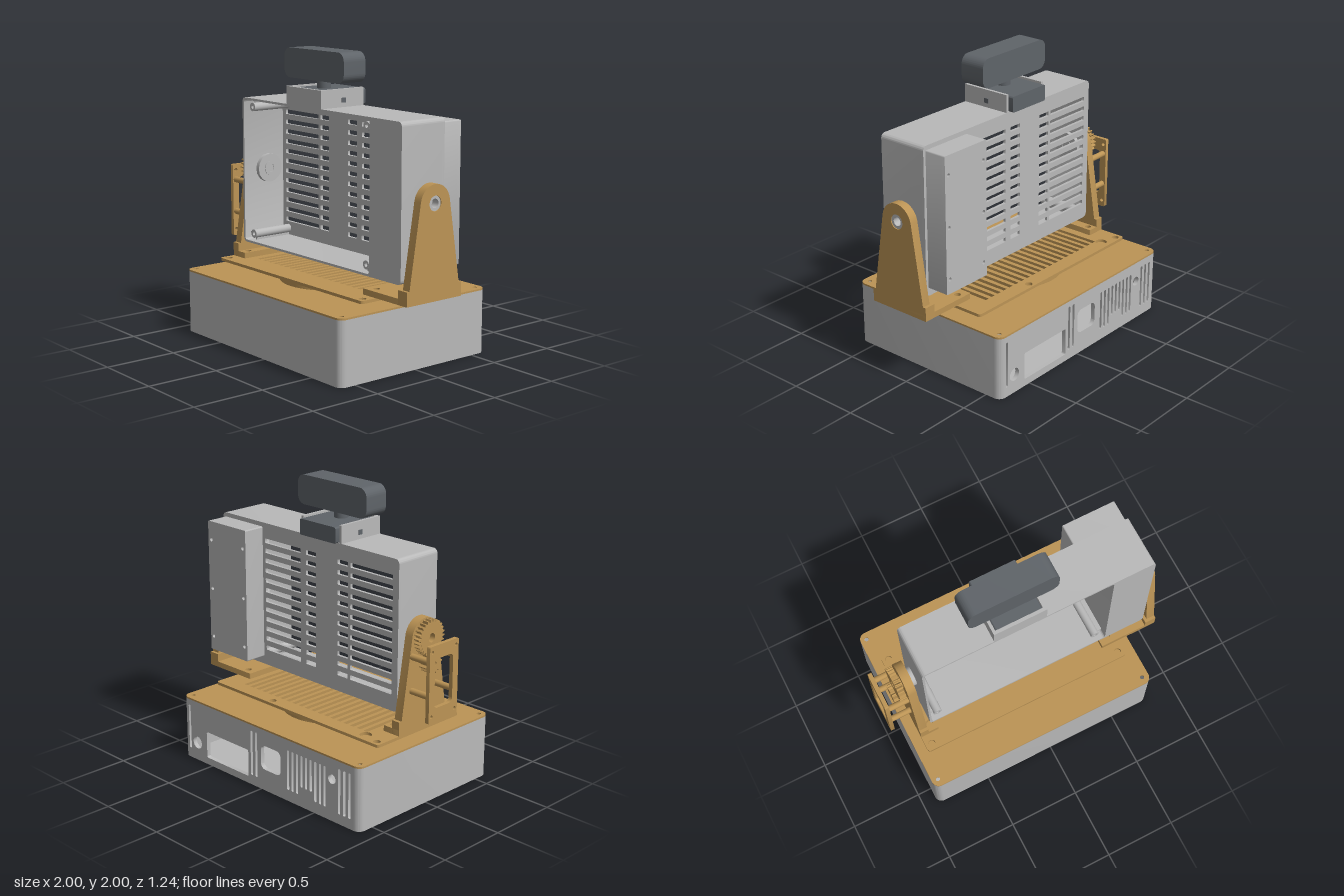
import * as THREE from 'three';
import { toCreasedNormals } from 'three/addons/utils/BufferGeometryUtils.js';

const grey = new THREE.MeshStandardMaterial({ name: 'grey plastic', color: 0xb9b9b9 });
const gold = new THREE.MeshStandardMaterial({ name: 'golden plastic', color: 0xbc9455 });
const dark = new THREE.MeshStandardMaterial({ name: 'dark slate plastic', color: 0x5f6469 });

// rounded rectangle outline, usable as shape or hole
function rrect(x0, y0, x1, y1, r, P = THREE.Shape) {
  const s = new P();
  s.moveTo(x0 + r, y0);
  s.lineTo(x1 - r, y0); s.absarc(x1 - r, y0 + r, r, -Math.PI / 2, 0);
  s.lineTo(x1, y1 - r); s.absarc(x1 - r, y1 - r, r, 0, Math.PI / 2);
  s.lineTo(x0 + r, y1); s.absarc(x0 + r, y1 - r, r, Math.PI / 2, Math.PI);
  s.lineTo(x0, y0 + r); s.absarc(x0 + r, y0 + r, r, Math.PI, Math.PI * 1.5);
  return s;
}
const hole = (x0, y0, x1, y1, r) => rrect(x0, y0, x1, y1, r, THREE.Path);
function circle(x, y, r, P = THREE.Path) {
  const p = new P();
  p.absarc(x, y, r, 0, Math.PI * 2);
  return p;
}

export function createModel() {
  const model = new THREE.Group();
  const add = (name, geo, mat, parent = model) => {
    const m = new THREE.Mesh(geo, mat);
    m.name = name;
    parent.add(m);
    return m;
  };
  const group = (name) => {
    const g = new THREE.Group();
    g.name = name;
    model.add(g);
    return g;
  };
  // extrude along z, y (shape y = -z) or x (shape x = -z), from a to b
  const extrude = (shape, axis, a, b) => {
    let g = new THREE.ExtrudeGeometry(shape, { depth: b - a, bevelEnabled: false, curveSegments: 8 });
    g.translate(0, 0, a);
    if (axis === 'y') g.rotateX(-Math.PI / 2);
    if (axis === 'x') g.rotateY(Math.PI / 2);
    return toCreasedNormals(g, 0.5);
  };
  const box = (x0, x1, y0, y1, z0, z1) =>
    new THREE.BoxGeometry(x1 - x0, y1 - y0, z1 - z0).translate((x0 + x1) / 2, (y0 + y1) / 2, (z0 + z1) / 2);
  // cylinder or tube with its axis along x, y or z
  const rod = (axis, a, b, u, v, r, inner = 0) => {
    const s = circle(axis === 'x' ? -v : u, axis === 'x' ? u : axis === 'y' ? -v : v, r, THREE.Shape);
    if (inner) s.holes.push(circle(axis === 'x' ? -v : u, axis === 'x' ? u : axis === 'y' ? -v : v, inner));
    return extrude(s, axis, a, b);
  };

  // hollow base: U-shaped wall, back panel with ports, floor
  const X0 = -0.9, X1 = 0.79, Z = 0.62, R = 0.05, T = 0.03;
  const base = group('base');
  const u = new THREE.Shape();
  u.moveTo(X0 + R, Z); u.absarc(X0 + R, Z - R, R, Math.PI / 2, Math.PI);
  u.absarc(X0 + R, -Z + R, R, Math.PI, Math.PI * 1.5);
  u.absarc(X1 - R, -Z + R, R, -Math.PI / 2, 0);
  u.absarc(X1 - R, Z - R, R, 0, Math.PI / 2);
  u.lineTo(X1 - R, Z - T); u.lineTo(X1 - T, Z - R); u.lineTo(X1 - T, -Z + T);
  u.lineTo(X0 + T, -Z + T); u.lineTo(X0 + T, Z - R); u.lineTo(X0 + R, Z - T);
  add('baseWall', extrude(u, 'y', 0, 0.43), grey, base);

  const back = new THREE.Shape();
  back.moveTo(X0 + R, 0); back.lineTo(X1 - R, 0); back.lineTo(X1 - R, 0.43); back.lineTo(X0 + R, 0.43);
  const slot = (x, y0, y1) => back.holes.push(hole(x - 0.01, y0, x + 0.01, y1, 0.008));
  for (const x of [0.725, 0.09, 0.045]) slot(x, 0.07, 0.39);
  for (let i = 0; i < 9; i++) slot(-0.26 - i * 0.042, i > 2 && i < 6 ? 0.14 : 0.08, 0.36);
  for (const x of [-0.725, -0.77, -0.815]) slot(x, 0.07, 0.38);
  back.holes.push(hole(0.125, 0.05, 0.55, 0.24, 0.01), hole(-0.19, 0.15, 0.0, 0.32, 0.04),
    circle(0.65, 0.13, 0.045), circle(-0.66, 0.29, 0.033));
  add('basePortPanel', extrude(back, 'z', -Z, -Z + T), grey, base);

  const floor = rrect(X0 + 0.01, -Z + 0.01, X1 - 0.01, Z - 0.01, R);
  for (const x of [-0.79, 0.68]) for (const z of [-0.51, 0.51]) floor.holes.push(circle(x, z, 0.04));
  add('baseUnderside', extrude(floor, 'y', 0, 0.015), grey, base);
  add('baseFloor', box(X0 + 0.02, X1 - 0.02, 0.015, 0.03, -Z + 0.02, Z - 0.02), grey, base);

  // lid, turntable and slotted plate
  const lid = rrect(X0, -Z, X1, Z, R);
  for (const x of [-0.855, 0.74]) for (const z of [-0.57, 0.57]) lid.holes.push(circle(x, z, 0.015));
  add('baseLid', extrude(lid, 'y', 0.43, 0.442), gold);
  add('turntable', new THREE.CylinderGeometry(0.355, 0.355, 0.04, 48).translate(-0.055, 0.461, 0), gold);
  const plate = rrect(-0.83, -0.385, 0.71, 0.385, 0.02);
  for (let i = 0; i < 20; i++) {
    const x = -0.62 + i * 0.06;
    plate.holes.push(hole(x - 0.016, -0.2, x + 0.016, 0.28, 0.004));
  }
  plate.holes.push(circle(-0.66, 0.315, 0.04));
  for (const [x, z] of [[-0.785, -0.345], [0.175, -0.345], [-0.785, 0.34], [0.665, 0.34]])
    plate.holes.push(circle(x, -z, 0.025));
  add('slottedPlate', extrude(plate, 'y', 0.48, 0.5), gold);

  // tapered yoke arms with feet
  const PY = 1.12, PZ = 0.04;
  const arm = new THREE.Shape();
  arm.moveTo(-0.25, 0.5); arm.lineTo(0.17, 0.5); arm.lineTo(0.17, 0.58);
  arm.absarc(-PZ, PY, 0.122, 0.16, Math.PI - 0.16);
  arm.lineTo(-0.25, 0.58);
  arm.holes.push(circle(-PZ, PY, 0.05));
  const yoke = group('yoke');
  for (const [x0, x1, f0, f1, b0, b1] of [[-0.83, -0.77, -0.83, -0.695, -0.83, -0.77], [0.94, 1, 0.58, 1, 0.92, 1]]) {
    add('yokeArm', extrude(arm, 'x', x0, x1), gold, yoke);
    add('yokeBlock', box(b0, b1, 0.5, 0.595, -0.19, 0.268), gold, yoke);
    const foot = rrect(f0, -0.268, f1, 0.19, 0.005);
    const hx = x0 < 0 ? -0.735 : 0.65;
    for (const z of [-0.14, 0.21]) foot.holes.push(circle(hx, -z, 0.022));
    add('yokeFoot', extrude(foot, 'y', 0.5, 0.54), gold, yoke);
  }

  // pivots
  const pivots = group('pivots');
  add('rightPivot', rod('x', -0.82, -0.69, PY, PZ, 0.049, 0.03), grey, pivots);
  add('rightPivotCollar', rod('x', -0.77, -0.735, PY, PZ, 0.065), grey, pivots);
  add('rightPivotDisc', rod('x', -0.73, -0.695, PY, PZ, 0.1), grey, pivots);
  add('leftPivot', rod('x', 0.9, 0.995, PY, PZ, 0.049, 0.03), grey, pivots);
  add('leftPivotCollar', rod('x', 0.9, 0.94, PY, PZ, 0.065), grey, pivots);

  // gears and the motor bracket
  const gear = (y, r, n, bore) => {
    const s = new THREE.Shape();
    for (let i = 0; i < n * 4; i++) {
      const a = (i + 0.5) / (n * 4) * Math.PI * 2, q = i % 4 < 2 ? r : r - 0.018;
      s[i ? 'lineTo' : 'moveTo'](-PZ + q * Math.cos(a), y + q * Math.sin(a));
    }
    s.holes.push(circle(-PZ, y, bore));
    return s;
  };
  const drive = group('drive');
  add('largeGear', extrude(gear(PY, 0.12, 26, 0.03), 'x', -0.885, -0.84), gold, drive);
  add('largeGearHub', rod('x', -0.845, -0.82, PY, PZ, 0.049), gold, drive);
  add('smallGear', extrude(gear(0.955, 0.068, 13, 0.015), 'x', -0.915, -0.84), gold, drive);
  const bracket = rrect(-0.165, 0.605, 0.105, 1.12, 0.01);
  bracket.holes.push(hole(-0.115, 0.7, 0.055, 1.03, 0.03));
  for (const z of [0.14, -0.08]) {
    for (const y of [0.65, 1.08]) bracket.holes.push(circle(-z, y, 0.012));
    for (const y of [0.78, 1.01]) add('standoff', rod('x', -0.98, -0.83, y, z, 0.021), gold, drive);
  }
  add('motorBracket', extrude(bracket, 'x', -1, -0.972), gold, drive);

  // housing: open-fronted shell with a louvred back
  const housing = group('housing');
  const shell = rrect(-0.74, 0.615, 0.91, 1.63, 0.03);
  shell.holes.push(hole(-0.725, 0.63, 0.61, 1.615, 0.02));
  add('housingShell', extrude(shell, 'z', -0.095, 0.24), grey, housing);
  const louvre = rrect(-0.74, 0.615, 0.91, 1.63, 0.03);
  for (let i = 0; i < 12; i++) {
    const y = 0.741 + i * 0.0696;
    for (const [a, b] of [[-0.69, -0.32], [-0.3, -0.205], [-0.005, 0.09], [0.14, 0.485]])
      louvre.holes.push(hole(a, y - 0.016, b, y + 0.016, 0.006));
  }
  add('louvredBack', extrude(louvre, 'z', -0.115, -0.095), grey, housing);
  for (const [x, sx] of [[-0.665, -1], [0.545, 1]]) for (const [y, sy] of [[1.565, 1], [0.675, -1]]) {
    add('cornerPost', rod('z', -0.1, 0.21, x, y, 0.03, 0.013), grey, housing);
    const ex = x + sx * 0.06, ey = y + sy * 0.05;
    add('postRib', box(Math.min(x + sx * 0.025, ex), Math.max(x + sx * 0.025, ex), y - 0.006, y + 0.006, -0.1, 0.19), grey, housing);
    add('postRib', box(x - 0.006, x + 0.006, Math.min(y + sy * 0.025, ey), Math.max(y + sy * 0.025, ey), -0.1, 0.19), grey, housing);
  }
  for (const y of [0.77, 1.12, 1.47])
    add('screwBoss', rod('z', -0.1, -0.06, 0.535, y, 0.034, 0.017), grey, housing);

  // box on the rear of the housing
  const rear = group('rearBox');
  add('rearBoxBody', extrude(rrect(0.51, 0.67, 0.89, 1.6, 0.008), 'z', -0.25, -0.11), grey, rear);
  const cover = rrect(0.51, 0.67, 0.89, 1.6, 0.008);
  for (const x of [0.54, 0.86]) for (const y of [0.77, 1.12, 1.47]) cover.holes.push(circle(x, y, 0.013));
  add('rearBoxCover', extrude(cover, 'z', -0.272, -0.25), grey, rear);

  // tray on top, holding the sensor
  const tray = group('topTray');
  add('trayFront', box(-0.24, 0.13, 1.625, 1.75, 0.217, 0.24), grey, tray);
  for (const [a, b] of [[-0.24, -0.22], [0.11, 0.13]])
    add('traySide', box(a, b, 1.625, 1.75, -0.115, 0.217), grey, tray);
  for (const [a, b] of [[-0.245, -0.24], [0.13, 0.135]])
    add('trayScrew', box(a, b, 1.66, 1.692, 0.038, 0.072), dark, tray);
  const sensor = group('sensor');
  add('sensorMount', extrude(rrect(-0.218, 1.632, 0.108, 1.74, 0.012), 'z', -0.15, 0.215), dark, sensor);
  add('sensorNeck', rod('y', 1.735, 1.81, -0.055, 0.068, 0.046), dark, sensor);
  add('sensorHead', extrude(rrect(-0.37, 1.795, 0.255, 1.995, 0.06), 'z', -0.025, 0.155), dark, sensor);
  return model;
}
